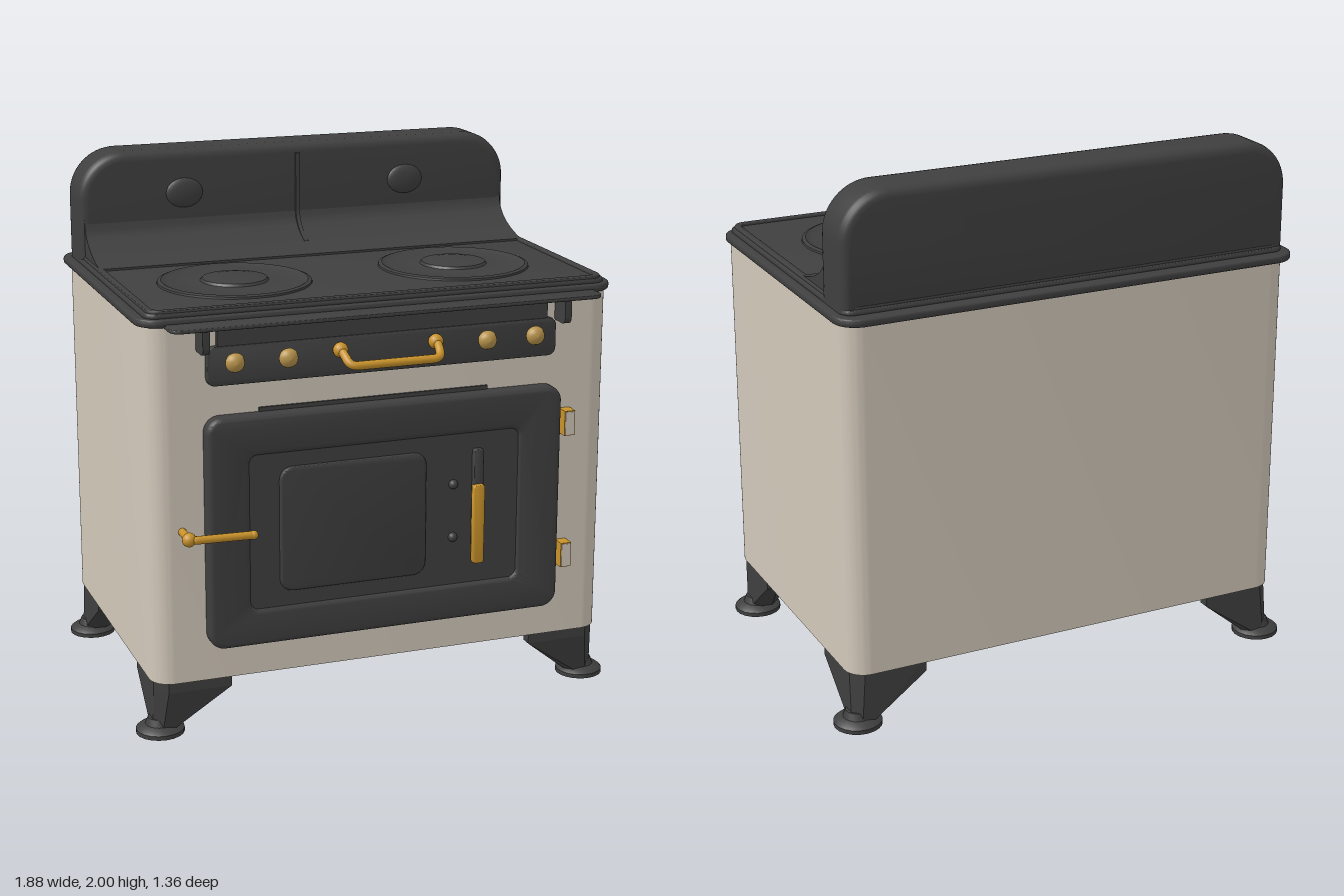
import * as THREE from 'three';
import { toCreasedNormals } from 'three/addons/utils/BufferGeometryUtils.js';
import { ConvexGeometry } from 'three/addons/geometries/ConvexGeometry.js';

const mat = (name, color) => {
  const m = new THREE.MeshStandardMaterial({ color });
  m.name = name;
  return m;
};

// rounded rectangle; rb is the radius of the two lower corners
function roundRect(x0, x1, y0, y1, r, rb = r, Type = THREE.Shape) {
  const s = new Type();
  const corner = (x, y, rad, a) => {
    if (rad > 0) s.absarc(x, y, rad, a, a + Math.PI / 2, false);
    else s.lineTo(x, y);
  };
  s.moveTo(x0 + rb, y0);
  corner(x1 - rb, y0 + rb, rb, -Math.PI / 2);
  corner(x1 - r, y1 - r, r, 0);
  corner(x0 + r, y1 - r, r, Math.PI / 2);
  corner(x0 + rb, y0 + rb, rb, Math.PI);
  return s;
}

// shape extruded from depth a to b, bevelled without growing past its outline
function extrude(shape, a, b, bevel = 0) {
  const g = new THREE.ExtrudeGeometry(shape, {
    depth: b - a - 2 * bevel, curveSegments: 8, bevelEnabled: bevel > 0,
    bevelSize: bevel, bevelThickness: bevel, bevelOffset: -bevel, bevelSegments: 4,
  });
  g.translate(0, 0, a + bevel);
  return toCreasedNormals(g, 0.6);
}

export function createModel() {
  const model = new THREE.Group();
  model.name = 'stove';
  const iron = mat('black iron', 0x3f3f3f);
  const enamel = mat('cream enamel', 0xd2c8ba);
  const brass = mat('brass', 0xc8922a);
  const dullBrass = mat('dull brass', 0xb8944c);

  const add = (name, geo, material, x = 0, y = 0, z = 0) => {
    const m = new THREE.Mesh(geo, material);
    m.name = name;
    m.position.set(x, y, z);
    model.add(m);
    return m;
  };
  // slab standing upright, facing front
  const upright = (name, material, x0, x1, y0, y1, z0, z1, r, bevel) =>
    add(name, extrude(roundRect(x0, x1, y0, y1, r), z0, z1, bevel), material);
  // slab lying flat
  const flat = (name, material, x0, x1, z0, z1, y0, y1, r, bevel) =>
    add(name, extrude(roundRect(x0, x1, -z1, -z0, r), y0, y1, bevel).rotateX(-Math.PI / 2), material);
  const tube = (name, pts, r) => {
    const path = new THREE.CurvePath();
    const v = pts.map((p) => new THREE.Vector3(...p));
    // straight runs with short rounded bends
    let from = v[0];
    for (let i = 1; i < v.length - 1; i++) {
      const a = v[i].clone().lerp(v[i - 1], Math.min(0.4, 0.03 / v[i].distanceTo(v[i - 1])));
      const b = v[i].clone().lerp(v[i + 1], Math.min(0.4, 0.03 / v[i].distanceTo(v[i + 1])));
      path.add(new THREE.LineCurve3(from, a));
      path.add(new THREE.QuadraticBezierCurve3(a, v[i], b));
      from = b;
    }
    path.add(new THREE.LineCurve3(from, v[v.length - 1]));
    add(name, new THREE.TubeGeometry(path, 60, r, 12), brass);
    const end = v[v.length - 1];
    add(name + 'End', new THREE.SphereGeometry(r * 1.1, 12, 8), brass, end.x, end.y, end.z);
  };

  // body and cooktop
  flat('body', enamel, -0.895, 0.885, -0.645, 0.55, 0.215, 1.55, 0.08, 0);
  flat('topRim', iron, -0.92, 0.905, -0.68, 0.555, 1.545, 1.575, 0.09, 0.01);
  flat('cooktop', iron, -0.89, 0.875, -0.63, 0.535, 1.57, 1.592, 0.05, 0.008);
  const lip = roundRect(-0.88, 0.865, -0.53, 0.62, 0.05);
  lip.holes.push(roundRect(-0.855, 0.84, -0.505, 0.6, 0.03, 0.03, THREE.Path));
  add('cooktopLip', extrude(lip, 1.58, 1.602, 0.006).rotateX(-Math.PI / 2), iron);

  // burners
  for (const x of [-0.445, 0.425]) {
    const ring = [[0.287, 0], [0.285, 0.008], [0.272, 0.013], [0.262, 0.009], [0.25, 0.004],
      [0.15, 0.007], [0.127, 0.009], [0.12, 0.018], [0.08, 0.024], [0, 0.027]];
    add('burner', toCreasedNormals(new THREE.LatheGeometry(
      ring.map((p) => new THREE.Vector2(...p)), 40), 0.5), iron, x, 1.591, 0.13);
  }

  // backsplash with its curved foot
  add('backsplash', extrude(roundRect(-0.89, 0.875, 1.56, 2, 0.18, 0), -0.618, -0.42, 0.035), iron);
  const cove = new THREE.Shape();
  cove.moveTo(0.2, 1.58);
  cove.lineTo(0.2, 1.6);
  cove.bezierCurveTo(0.3, 1.615, 0.415, 1.66, 0.42, 1.73);
  cove.lineTo(0.46, 1.85);
  cove.lineTo(0.5, 1.58);
  add('backsplashCove', extrude(cove, -0.873, 0.858).rotateY(Math.PI / 2), iron);
  const fin = new THREE.Shape();
  fin.moveTo(0.45, 1.62);
  fin.lineTo(0.3, 1.63);
  fin.bezierCurveTo(0.36, 1.645, 0.408, 1.69, 0.41, 1.74);
  fin.lineTo(0.41, 1.96);
  fin.lineTo(0.45, 1.96);
  add('backsplashRib', extrude(fin, -0.023, -0.007).rotateY(Math.PI / 2), iron);
  for (const x of [-0.475, 0.44])
    add('backsplashBoss', new THREE.SphereGeometry(1, 24, 12), iron, x, 1.83, -0.42).scale.set(0.074, 0.058, 0.02);

  // control panel, shelf above it and brackets
  flat('frontShelf', iron, -0.83, 0.81, 0.45, 0.647, 1.543, 1.557, 0.04, 0.003);
  upright('panelTop', iron, -0.645, 0.62, 1.44, 1.545, 0.53, 0.568, 0, 0);
  upright('controlPanel', iron, -0.685, 0.655, 1.325, 1.468, 0.53, 0.572, 0.03, 0.006);
  for (const x of [-0.705, 0.67])
    add('shelfBracket', extrude(roundRect(-0.64, -0.54, 1.455, 1.55, 0, 0.025), -0.013, 0.013)
      .rotateY(Math.PI / 2), iron, x);

  // knobs
  const knob = [[0.016, 0], [0.016, 0.018], [0.033, 0.024], [0.036, 0.036], [0.03, 0.052], [0.016, 0.062], [0, 0.065]];
  for (const x of [-0.592, -0.395, 0.365, 0.555])
    add('knob', new THREE.LatheGeometry(knob.map((p) => new THREE.Vector2(...p)), 20).rotateX(Math.PI / 2),
      dullBrass, x, 1.415, 0.57);

  // towel-style handle
  tube('panelHandle', [[-0.195, 1.425, 0.56], [-0.195, 1.42, 0.61], [-0.185, 1.38, 0.665],
    [0.16, 1.38, 0.665], [0.17, 1.42, 0.61], [0.17, 1.425, 0.56]], 0.016);
  for (const x of [-0.195, 0.17])
    add('handleCollar', new THREE.SphereGeometry(0.028, 16, 10), brass, x, 1.422, 0.588);

  // oven door: stepped frame around a sunken panel
  const frame = roundRect(-0.698, 0.673, 0.345, 1.215, 0.06);
  frame.holes.push(roundRect(-0.54, 0.5, 0.485, 1.065, 0.03, 0.03, THREE.Path));
  add('doorFrame', extrude(frame, 0.535, 0.606, 0.02), iron);
  upright('doorPanel', iron, -0.6, 0.56, 0.43, 1.12, 0.54, 0.594, 0, 0);
  upright('doorWindow', iron, -0.43, 0.135, 0.54, 1.012, 0.58, 0.606, 0.05, 0.01);
  upright('doorTopStrip', iron, -0.49, 0.39, 1.21, 1.23, 0.54, 0.558, 0, 0);

  // draught slider and its pegs
  upright('sliderTrack', iron, 0.318, 0.357, 0.58, 1.005, 0.58, 0.615, 0.01, 0.004);
  upright('slider', brass, 0.314, 0.358, 0.565, 0.872, 0.6, 0.63, 0.012, 0.006);
  for (const y of [0.875, 0.67])
    add('doorPeg', new THREE.SphereGeometry(0.018, 14, 10), iron, 0.243, y, 0.597);

  // door latch
  tube('doorLatch', [[-0.78, 0.795, 0.54], [-0.78, 0.795, 0.652], [-0.545, 0.79, 0.652]], 0.015);
  add('latchCollar', new THREE.SphereGeometry(0.026, 16, 10), brass, -0.78, 0.795, 0.64);

  // hinges with enamelled faces
  for (const y of [1.065, 0.545]) {
    add('hinge', new THREE.BoxGeometry(0.042, 0.095, 0.065), brass, 0.707, y, 0.57);
    add('hingeFace', new THREE.BoxGeometry(0.036, 0.088, 0.004), enamel, 0.707, y, 0.603);
  }

  // corner legs: wide bracket narrowing to a round foot
  const foot = [[0, 0], [0.09, 0], [0.09, 0.016], [0.078, 0.026], [0.055, 0.034], [0.045, 0.06], [0, 0.06]];
  for (const sx of [-1, 1]) for (const sz of [-1, 1]) {
    const cx = sx < 0 ? -0.89 : 0.88;
    const cz = sz < 0 ? -0.64 : 0.545;
    const fz = sz < 0 ? -0.59 : 0.462;
    const fx = cx - sx * 0.035;
    const pts = [];
    for (const y of [0.224, 0.175])
      for (const [a, b] of [[0.05, 0.005], [0.005, 0.05], [0.29, 0.005], [0.005, 0.29], [0.29, 0.05], [0.05, 0.29]])
        pts.push(new THREE.Vector3(cx - sx * a, y, cz - sz * b));
    for (let i = 0; i < 8; i++) {
      const a = (i + 0.5) * Math.PI / 4;
      pts.push(new THREE.Vector3(fx - sx * 0.02 + 0.058 * Math.cos(a), 0.025, fz + 0.058 * Math.sin(a)));
    }
    add('leg', new ConvexGeometry(pts), iron);
    add('foot', toCreasedNormals(new THREE.LatheGeometry(foot.map((p) => new THREE.Vector2(...p)), 20), 0.6),
      iron, fx, 0, fz);
  }
  return model;
}
